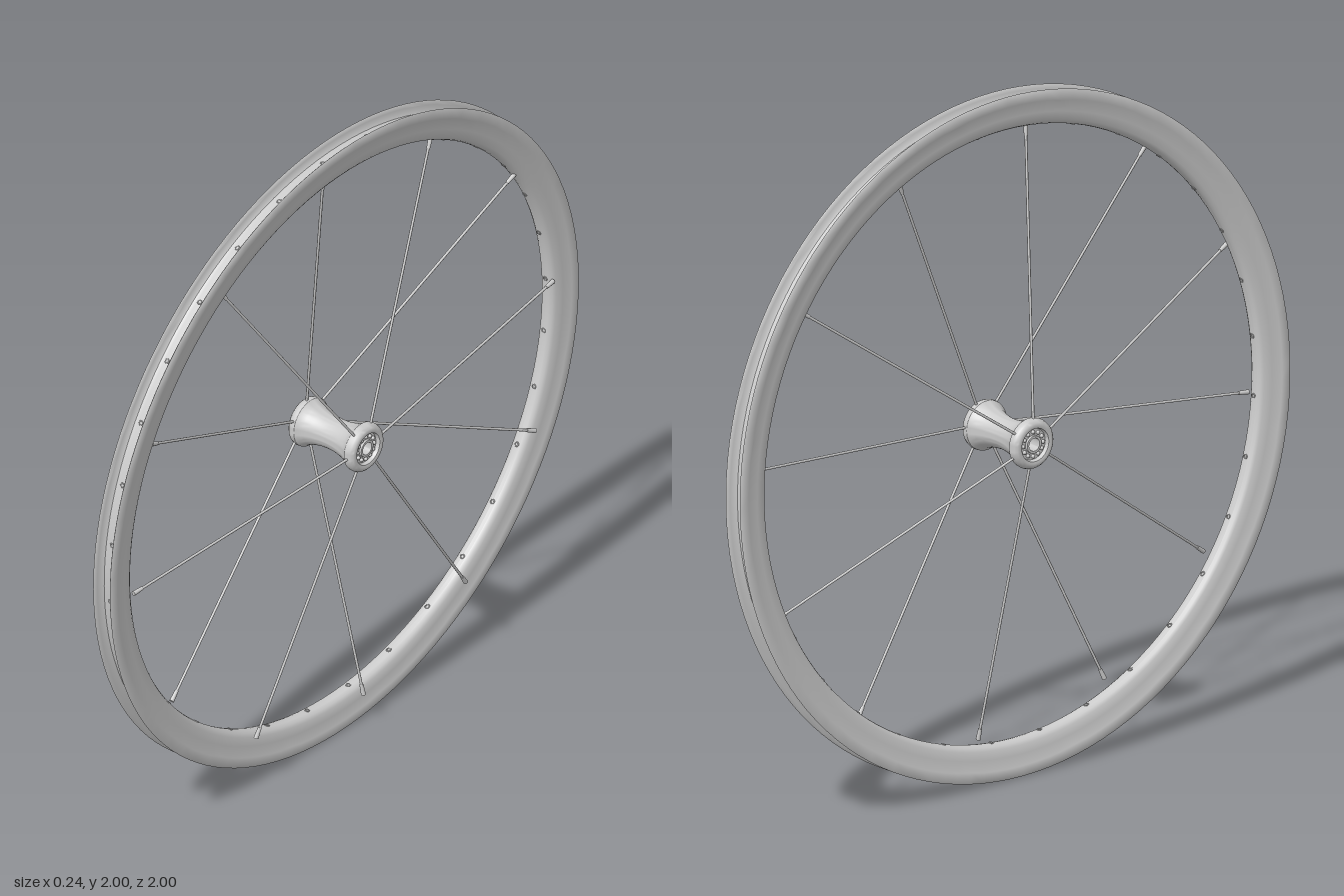
import * as THREE from 'three';
import { toCreasedNormals } from 'three/addons/utils/BufferGeometryUtils.js';

const material = new THREE.MeshStandardMaterial({ color: 0xcccccc });

function add(parent, name, geometry) {
  const mesh = new THREE.Mesh(geometry, material);
  mesh.name = name;
  parent.add(mesh);
  return mesh;
}

// Turns a closed profile of [radius, x] points around the axle (x axis).
function turned(profile, segments) {
  const points = [...profile, profile[0]].map(([r, x]) => new THREE.Vector2(r, x));
  const geometry = new THREE.LatheGeometry(points, segments).rotateZ(-Math.PI / 2);
  return toCreasedNormals(geometry, 0.6);
}

// Point at an angle from straight up (towards -z), distance r from the axle.
const polar = (x, r, a) => new THREE.Vector3(x, r * Math.cos(a), -r * Math.sin(a));

function rod(from, to, r0, r1, sides) {
  const dir = to.clone().sub(from);
  const geometry = new THREE.CylinderGeometry(r1, r0, dir.length(), sides);
  geometry.applyQuaternion(new THREE.Quaternion().setFromUnitVectors(
    new THREE.Vector3(0, 1, 0), dir.clone().normalize()));
  const mid = from.clone().add(to).multiplyScalar(0.5);
  return geometry.translate(mid.x, mid.y, mid.z);
}

export function createModel() {
  const wheel = new THREE.Group();
  wheel.name = 'wheel';
  const assembly = new THREE.Group();
  assembly.name = 'wheelAssembly';
  assembly.position.y = 1;
  wheel.add(assembly);

  // Rim: hooked outer channel, flat side walls, rounded inner face, slightly out of true
  const rimGroup = new THREE.Group();
  rimGroup.name = 'rimGroup';
  rimGroup.rotation.z = -0.035;
  assembly.add(rimGroup);
  const half = [
    [0.894, 0], [0.896, 0.01], [0.901, 0.019], [0.91, 0.025], [0.935, 0.029],
    [0.967, 0.032], [0.969, 0.033], [0.997, 0.033], [1, 0.031], [0.997, 0.028],
    [0.988, 0.026], [0.976, 0.024], [0.968, 0.018], [0.965, 0.008],
  ];
  const mirrored = half.slice(1).reverse().map(([r, x]) => [r, -x]);
  // Runs from the inner face along -x outwards, then back along +x
  const rimProfile = [half[0], ...mirrored.slice().reverse(), ...half.slice(1).reverse()];
  add(rimGroup, 'rim', turned(rimProfile, 128));

  // Spoke hole edges on the tyre bed and the inner face
  for (let i = 0; i < 32; i++) {
    const a = (i + 0.5) * Math.PI / 16;
    for (const [r, name] of [[0.965, 'tyreBedEyelet'], [0.894, 'innerEyelet']]) {
      const eyelet = add(rimGroup, name, new THREE.TorusGeometry(0.006, 0.0018, 5, 12));
      eyelet.position.copy(polar(0, r, a));
      eyelet.quaternion.setFromUnitVectors(new THREE.Vector3(0, 0, 1), polar(0, 1, a));
    }
  }

  // Hub: waisted shell with rounded flanges, recessed end faces and a bore
  const hub = new THREE.Group();
  hub.name = 'hub';
  assembly.add(hub);
  const shellHalf = [
    [0.046, 0], [0.0475, 0.025], [0.052, 0.05], [0.059, 0.072], [0.067, 0.086],
    [0.073, 0.093], [0.074, 0.103], [0.071, 0.113], [0.064, 0.12], [0.056, 0.122],
    [0.049, 0.12], [0.046, 0.108], [0.026, 0.108], [0.026, 0.116], [0.019, 0.116],
  ];
  const shell = [
    ...shellHalf.slice(1).reverse().map(([r, x]) => [r, -x]), ...shellHalf,
  ];
  add(hub, 'hubShell', turned(shell, 48));
  for (const side of [-1, 1]) {
    for (let i = 0; i < 12; i++) {
      const ball = add(hub, 'bearingBall', new THREE.SphereGeometry(0.006, 10, 8));
      ball.position.copy(polar(side * 0.11, 0.036, i * Math.PI / 6));
    }
  }

  // Spokes: twelve, alternating between flanges, each with a nipple at the rim
  for (let i = 0; i < 12; i++) {
    const a = THREE.MathUtils.degToRad(-5.5 + 30 * i);
    const side = i % 2 ? 1 : -1;
    const start = polar(side * 0.104, 0.06, a);
    const end = polar(0.027, 0.9, a);
    const neck = start.clone().lerp(end, 0.96);
    const spoke = new THREE.Group();
    spoke.name = 'spoke';
    add(spoke, 'spokeWire', rod(start, neck, 0.004, 0.004, 8));
    add(spoke, 'spokeNipple', rod(neck, end, 0.0055, 0.007, 10));
    assembly.add(spoke);
  }
  return wheel;
}
